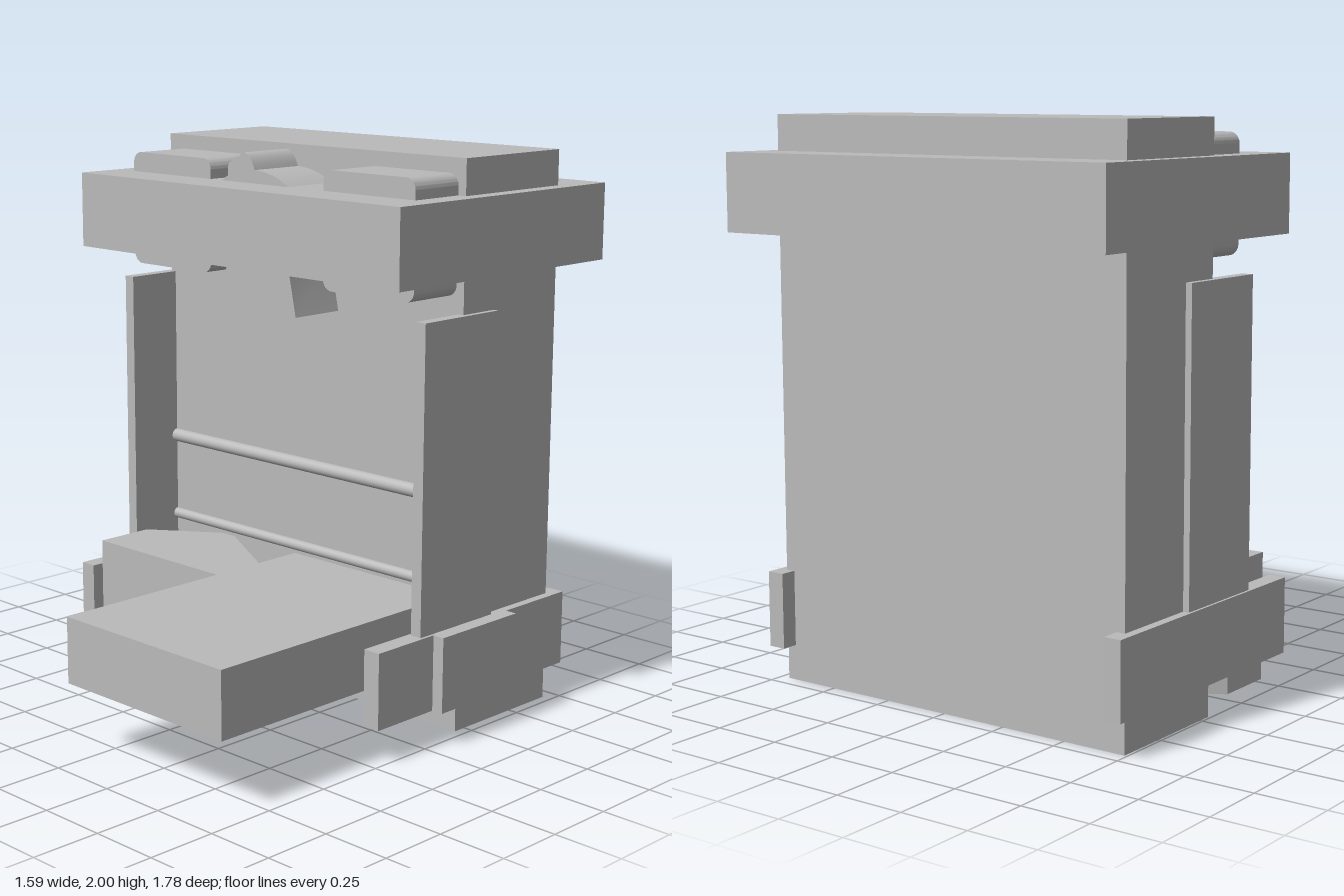
import * as THREE from 'three';
import { toCreasedNormals } from 'three/addons/utils/BufferGeometryUtils.js';

export function createModel() {
  const group = new THREE.Group();
  const grey = new THREE.MeshStandardMaterial({ color: 0xbababa });
  grey.name = 'light grey';

  const add = (name, geometry) => {
    const mesh = new THREE.Mesh(geometry, grey);
    mesh.name = name;
    group.add(mesh);
    return mesh;
  };
  // Box given by its two extents on each axis
  const box = (name, x0, x1, y0, y1, z0, z1) => {
    const mesh = add(name, new THREE.BoxGeometry(x1 - x0, y1 - y0, z1 - z0));
    mesh.position.set((x0 + x1) / 2, (y0 + y1) / 2, (z0 + z1) / 2);
  };
  const extrude = (shape, depth) => toCreasedNormals(
    new THREE.ExtrudeGeometry(shape, { depth, bevelEnabled: false, curveSegments: 8 }), 0.6);

  // Cabinet and canopy
  box('cabinet', -0.74, 0.715, 0, 2, -0.695, -0.2);
  box('canopy', -0.797, 0.773, 1.603, 1.875, -0.888, 0.19);

  // Side panels and the rails below them
  box('rightSidePanel', -0.763, -0.72, 0.14, 1.477, -0.36, 0.015);
  box('leftSidePanel', 0.692, 0.735, 0.14, 1.477, -0.36, 0.015);
  box('rightRail', -0.772, -0.708, 0.127, 0.398, -0.765, 0.245);
  box('leftRail', 0.68, 0.746, 0.127, 0.398, -0.755, 0.235);
  box('leftRailPlate', 0.74, 0.79, 0.127, 0.398, -0.43, -0.04);

  // Floor: long tray, low step and pointed corner block
  box('tray', -0.073, 0.68, 0.252, 0.488, -0.2, 0.89);
  box('step', -0.05, 0.685, 0.127, 0.26, -0.2, -0.04);
  const wedge = new THREE.Shape([[-0.708, 0.2], [0.293, 0.2], [-0.435, -0.22], [-0.708, -0.025]]
    .map(([x, y]) => new THREE.Vector2(x, -y)));
  const block = add('cornerBlock', extrude(wedge, 0.458));
  block.geometry.rotateX(-Math.PI / 2).scale(1, 1, 1);
  block.position.y = 0.03;

  // Rounded ridges across the back wall
  for (const [y, r] of [[0.835, 0.025], [0.522, 0.02]]) {
    const ridge = add('wallRidge', new THREE.CylinderGeometry(r, r, 1.412, 16));
    ridge.rotation.z = Math.PI / 2;
    ridge.position.set(-0.014, y, -0.2);
  }

  // Rounded blocks passing through the canopy
  const roundedRect = (x0, x1, y0, y1, r) => {
    const s = new THREE.Shape();
    s.absarc(x1 - r, y0 + r, r, -Math.PI / 2, 0);
    s.absarc(x1 - r, y1 - r, r, 0, Math.PI / 2);
    s.absarc(x0 + r, y1 - r, r, Math.PI / 2, Math.PI);
    s.absarc(x0 + r, y0 + r, r, Math.PI, Math.PI * 1.5);
    return s;
  };
  for (const [x0, x1] of [[-0.705, -0.29], [0.268, 0.682]]) {
    add('roundedBlock', extrude(roundedRect(x0, x1, 1.535, 1.947, 0.04), 0.215)).position.z = -0.2;
  }

  // Centre crest with a lumpy top and flared base
  const crest = new THREE.Shape();
  crest.moveTo(-0.23, 1.424);
  crest.lineTo(0.138, 1.424);
  crest.lineTo(0.098, 1.61);
  crest.lineTo(0.1, 1.875);
  crest.quadraticCurveTo(0.03, 1.92, -0.065, 1.922);
  crest.quadraticCurveTo(-0.085, 1.978, -0.12, 1.98);
  crest.quadraticCurveTo(-0.14, 1.975, -0.145, 1.962);
  crest.quadraticCurveTo(-0.17, 1.968, -0.175, 1.945);
  crest.quadraticCurveTo(-0.205, 1.95, -0.2, 1.895);
  crest.lineTo(-0.23, 1.875);
  crest.lineTo(-0.205, 1.61);
  crest.closePath();
  add('crest', extrude(crest, 0.215)).position.z = -0.2;

  return group;
}
